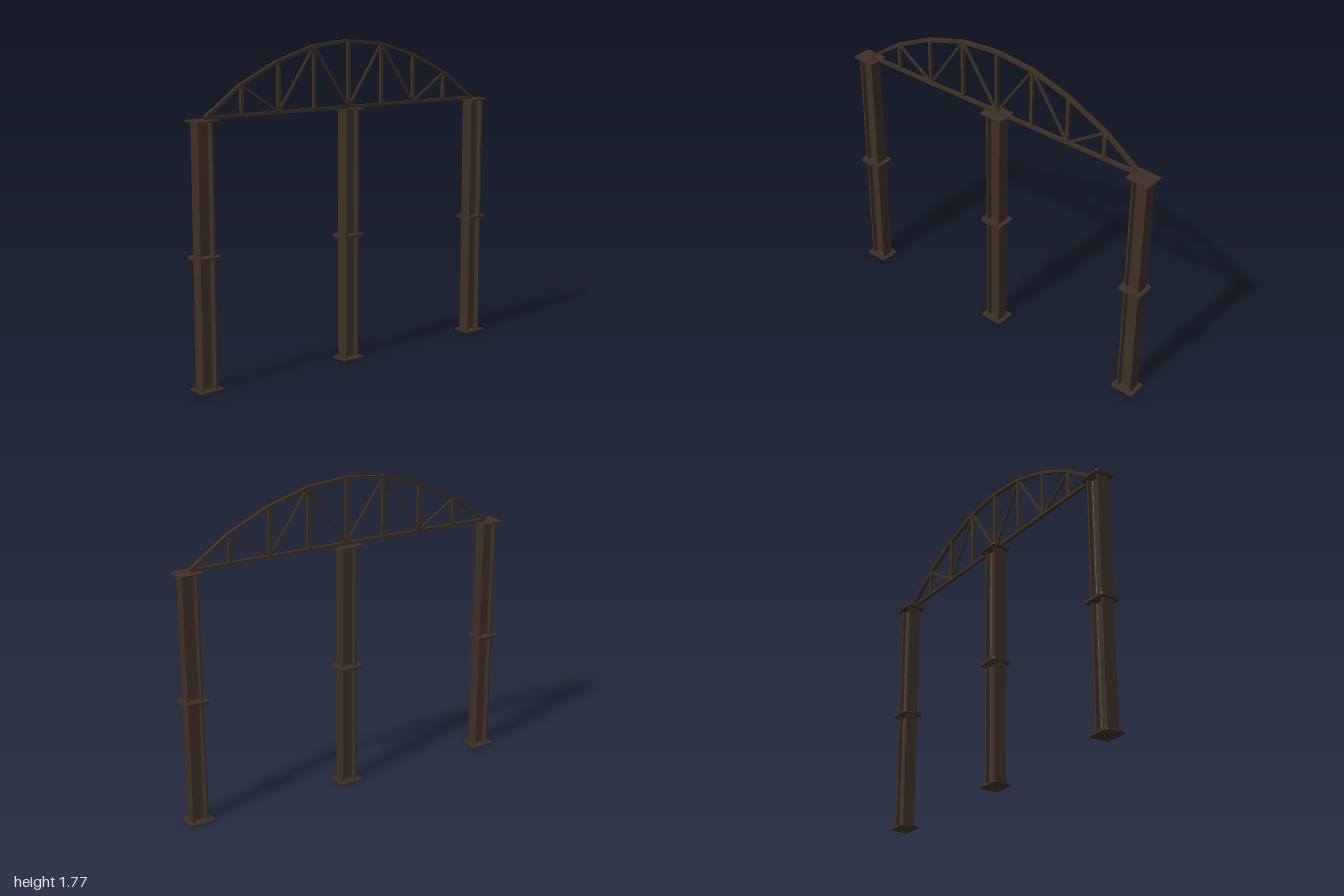
import * as THREE from 'three';

const steel = new THREE.MeshStandardMaterial({ color: 0x3e2f25 });
steel.name = 'dark brown steel';

const COLUMN_X = 0.93, TOP = 1.4, PLATE = 0.008;

function add(parent, geometry, name) {
  const mesh = new THREE.Mesh(geometry, steel);
  mesh.name = name;
  parent.add(mesh);
  return mesh;
}

// Extrudes an outline in the ground plane upwards along y
function extrudeUp(shape, height) {
  const g = new THREE.ExtrudeGeometry(shape, { depth: height, bevelEnabled: false, curveSegments: 4 });
  return g.rotateX(-Math.PI / 2);
}

// I-section: flanges facing the sides, web across the middle, filleted inside
function beamShape() {
  const w = 0.045, d = 0.035, web = 0.007, inner = 0.034, r = 0.01;
  const s = new THREE.Shape();
  s.moveTo(-w, -d);
  s.lineTo(-inner, -d);
  s.lineTo(-inner, -web - r);
  s.quadraticCurveTo(-inner, -web, -inner + r, -web);
  s.lineTo(inner - r, -web);
  s.quadraticCurveTo(inner, -web, inner, -web - r);
  s.lineTo(inner, -d);
  s.lineTo(w, -d);
  s.lineTo(w, d);
  s.lineTo(inner, d);
  s.lineTo(inner, web + r);
  s.quadraticCurveTo(inner, web, inner - r, web);
  s.lineTo(-inner + r, web);
  s.quadraticCurveTo(-inner, web, -inner, web + r);
  s.lineTo(-inner, d);
  s.lineTo(-w, d);
  s.closePath();
  return s;
}

// End plate with rounded corners
function plateShape() {
  const w = 0.07, d = 0.058, r = 0.014;
  const s = new THREE.Shape();
  s.absarc(w - r, d - r, r, 0, Math.PI / 2);
  s.absarc(-w + r, d - r, r, Math.PI / 2, Math.PI);
  s.absarc(-w + r, -d + r, r, Math.PI, Math.PI * 1.5);
  s.absarc(w - r, -d + r, r, Math.PI * 1.5, Math.PI * 2);
  s.closePath();
  return s;
}

// Straight square bar between two points of the truss plane
function bar(parent, a, b, height, depth, name) {
  const dx = b[0] - a[0], dy = b[1] - a[1];
  const mesh = add(parent, new THREE.BoxGeometry(Math.hypot(dx, dy), height, depth), name);
  mesh.position.set((a[0] + b[0]) / 2, (a[1] + b[1]) / 2, 0);
  mesh.rotation.z = Math.atan2(dy, dx);
}

export function createModel() {
  const model = new THREE.Group();
  model.name = 'trussFrame';

  // Three columns, each of two stacked beams with plates at both ends
  const half = TOP / 2;
  const beamGeo = extrudeUp(beamShape(), half - 2 * PLATE);
  const plateGeo = extrudeUp(plateShape(), PLATE);
  for (const x of [-COLUMN_X, 0, COLUMN_X]) {
    const column = new THREE.Group();
    column.name = 'column';
    column.position.x = x;
    for (const y of [0, half]) {
      add(column, plateGeo, 'lowerPlate').position.y = y;
      add(column, beamGeo, 'beam').position.y = y + PLATE;
      add(column, plateGeo, 'upperPlate').position.y = y + half - PLATE;
    }
    model.add(column);
  }

  // Arched truss
  const truss = new THREE.Group();
  truss.name = 'truss';
  model.add(truss);
  const base = 1.408;
  const arch = [[0, 1.765], [0.232, 1.742], [0.47, 1.67], [0.7, 1.56], [0.913, base]];
  const posts = [0, 0.231, 0.462, 0.692];
  bar(truss, [-0.915, base], [0.915, base], 0.016, 0.02, 'bottomChord');
  bar(truss, [0, base], [0, 1.765], 0.018, 0.018, 'middlePost');
  for (const s of [-1, 1]) {
    const at = (x, y) => [s * x, y];
    for (let i = 0; i < 4; i++) {
      const [x0, y0] = arch[i], [x1, y1] = arch[i + 1];
      // Slight overlap closes the outside of each joint
      const k = 0.012;
      bar(truss, at(x0 - (x1 - x0) * k, y0 - (y1 - y0) * k),
        at(x1 + (x1 - x0) * k, y1 + (y1 - y0) * k), 0.017, 0.022, 'topChord');
      if (i > 0) bar(truss, at(posts[i], base), at(posts[i], y0), 0.018, 0.018, 'post');
    }
    // Diagonals
    bar(truss, at(0, base), at(posts[1], 1.742), 0.012, 0.012, 'diagonal');
    bar(truss, at(posts[2], base), at(posts[1], 1.742), 0.012, 0.012, 'diagonal');
    bar(truss, at(posts[2], base), at(posts[3], 1.56), 0.012, 0.012, 'diagonal');
  }
  return model;
}
